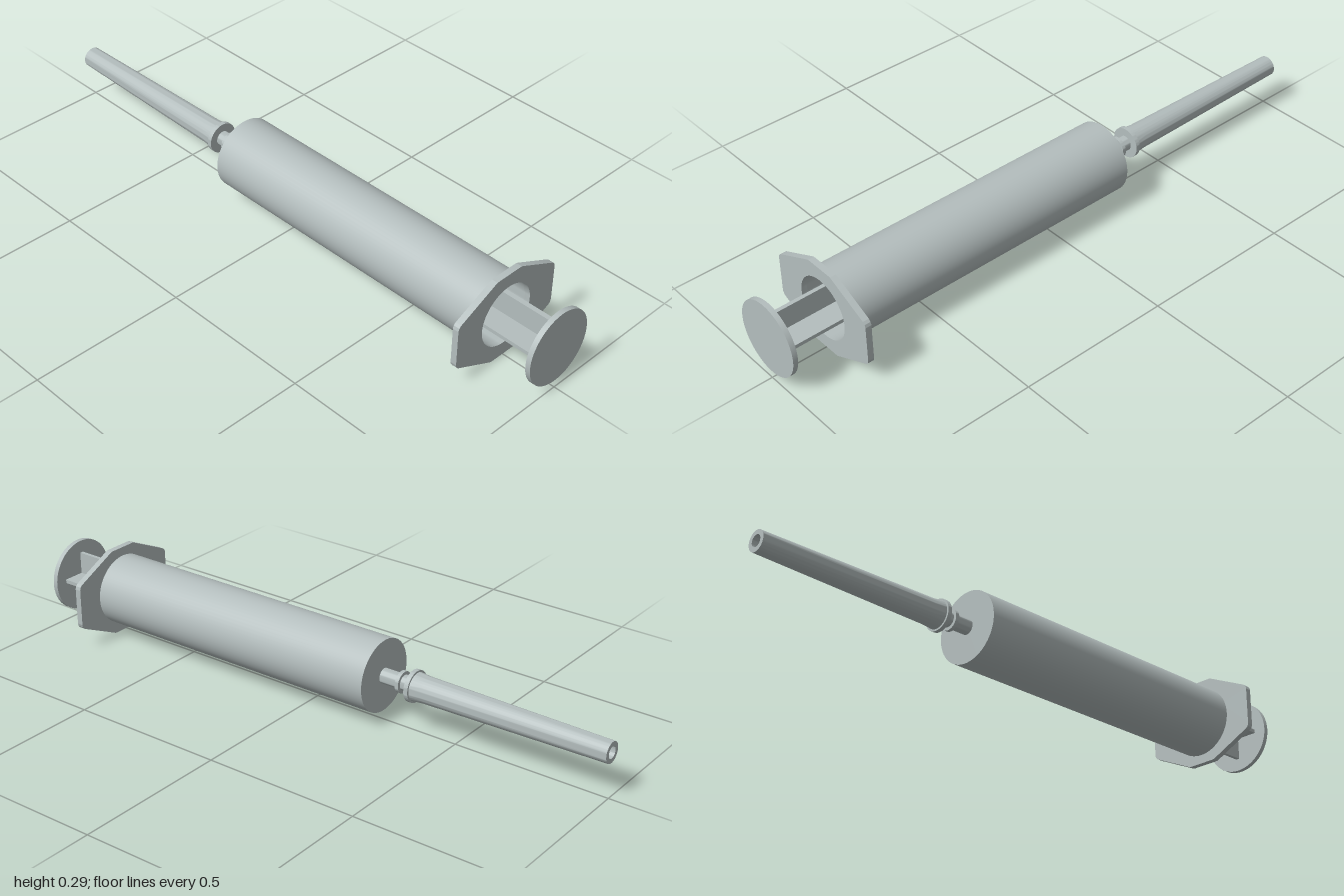
import * as THREE from 'three';
import { toCreasedNormals } from 'three/addons/utils/BufferGeometryUtils.js';

const plastic = new THREE.MeshStandardMaterial({ color: 0xb4bebe });
plastic.name = 'grey plastic';

export function createModel() {
  const model = new THREE.Group();
  model.name = 'syringe';
  const axis = new THREE.Group();
  axis.name = 'syringeAxis';
  axis.position.y = 0.144;
  model.add(axis);

  const add = (name, geometry) => {
    const mesh = new THREE.Mesh(geometry, plastic);
    mesh.name = name;
    axis.add(mesh);
    return mesh;
  };
  // Turned part along z from [radius, z] pairs, outside running towards +z
  const turned = (name, profile) => {
    const g = new THREE.LatheGeometry(profile.map(([r, z]) => new THREE.Vector2(r, z)), 64);
    g.rotateX(Math.PI / 2);
    return add(name, toCreasedNormals(g, 0.5));
  };

  // Hollow barrel, open at the flange end
  turned('barrel', [[0, -0.245], [0.115, -0.245], [0.115, 0.797], [0.1, 0.797], [0.1, -0.23], [0, -0.23]]);

  // Finger flange: long plate with softened corners and a round opening
  const corners = [[0.2, -0.072], [0.2, 0.072], [0.05, 0.144], [-0.05, 0.144],
    [-0.2, 0.072], [-0.2, -0.072], [-0.05, -0.144], [0.05, -0.144]]
    .map(([x, y]) => new THREE.Vector2(x, y));
  const plate = new THREE.Shape();
  corners.forEach((c, i) => {
    const prev = corners[(i + 7) % 8], next = corners[(i + 1) % 8];
    const r = Math.abs(c.x) > 0.1 ? 0.014 : 0.006;
    const a = c.clone().add(prev.clone().sub(c).setLength(r));
    const b = c.clone().add(next.clone().sub(c).setLength(r));
    if (i === 0) plate.moveTo(a.x, a.y); else plate.lineTo(a.x, a.y);
    plate.quadraticCurveTo(c.x, c.y, b.x, b.y);
  });
  plate.closePath();
  plate.holes.push(new THREE.Path().absarc(0, 0, 0.1, 0, Math.PI * 2, true));
  const flange = new THREE.ExtrudeGeometry(plate, { depth: 0.02, bevelEnabled: false, curveSegments: 32 });
  add('fingerFlange', toCreasedNormals(flange, 0.5)).position.z = 0.795;

  // Plunger: crossed ribs, thumb disc and stopper
  for (const [name, w, h] of [['plungerRibWide', 0.156, 0.012], ['plungerRibTall', 0.012, 0.156]]) {
    add(name, new THREE.BoxGeometry(w, h, 0.985)).position.z = 0.4925;
  }
  turned('thumbDisc', [[0, 0.984], [0.119, 0.984], [0.119, 1], [0, 1]]);
  turned('stopper', [[0, -0.05], [0.099, -0.03], [0.099, 0.02], [0, 0.02]]);

  // Nozzle with a thin ring
  turned('nozzle', [[0, -0.42], [0.024, -0.42], [0.024, -0.24], [0, -0.24]]);
  turned('nozzleRing', [[0.02, -0.318], [0.034, -0.318], [0.034, -0.306], [0.02, -0.306]]);

  // Tapered hollow needle cap with a collar
  turned('needleCap', [[0.021, -0.42], [0.019, -1], [0.033, -1], [0.041, -0.4], [0.044, -0.362],
    [0.05, -0.362], [0.05, -0.348], [0.024, -0.348]]);

  return model;
}
